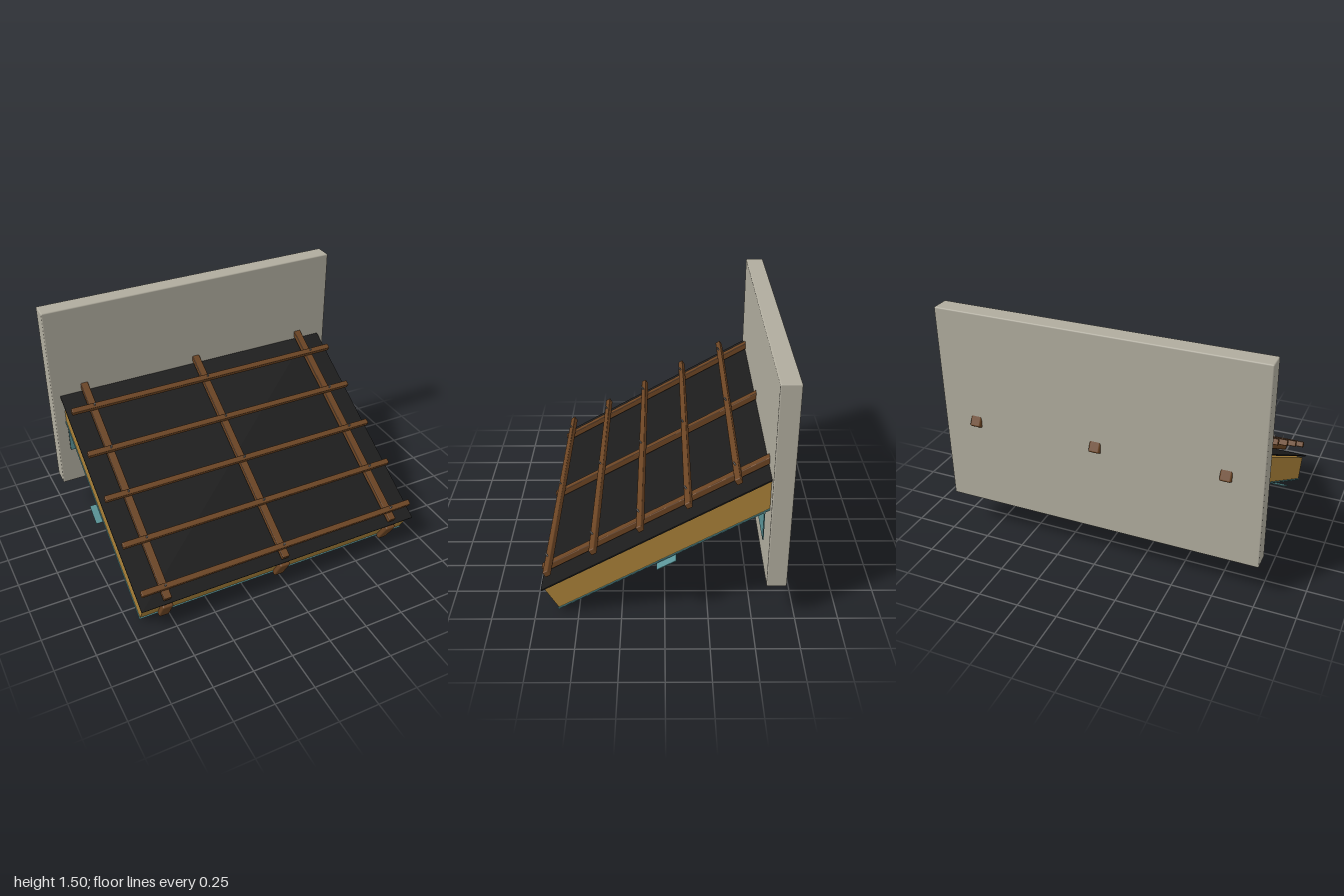
import * as THREE from 'three';
import { RoundedBoxGeometry } from 'three/addons/geometries/RoundedBoxGeometry.js';

const material = (name, color) => {
  const m = new THREE.MeshStandardMaterial({ color });
  m.name = name;
  return m;
};

export function createModel() {
  const concrete = material('concrete', 0xb0ac9e);
  const timber = material('timber', 0x6b4423);
  const insulationGold = material('insulation gold', 0xa98138);
  const membraneBlack = material('membrane black', 0x1c1c1c);
  const barrierTeal = material('barrier teal', 0x5a9498);
  const steel = material('steel', 0x8c8c8c);

  const model = new THREE.Group();
  model.name = 'roofWallJunction';

  // Box given by its extents on each axis, with an optional rounded edge
  const block = (parent, name, mat, [x0, x1], [y0, y1], [z0, z1], radius = 0) => {
    const size = [x1 - x0, y1 - y0, z1 - z0];
    const geometry = radius
      ? new RoundedBoxGeometry(...size, 2, radius)
      : new THREE.BoxGeometry(...size);
    const mesh = new THREE.Mesh(geometry, mat);
    mesh.name = name;
    mesh.position.set((x0 + x1) / 2, (y0 + y1) / 2, (z0 + z1) / 2);
    parent.add(mesh);
    return mesh;
  };

  // Wall and the barrier sheet hanging in front of it
  block(model, 'wall', concrete, [-1, 1], [0.24, 1.51], [-0.69, -0.575], 0.008);
  block(model, 'wallBarrierFlap', barrierTeal, [-0.93, 0.93], [0.51, 0.715], [-0.551, -0.545]);

  // Sloping roof: local y is the height above the rafter underside, -z runs up the slope
  const roof = new THREE.Group();
  roof.name = 'roof';
  roof.position.set(0, 0.003, 0.635);
  roof.rotation.x = Math.PI / 6;
  model.add(roof);
  const layer = (name, mat, halfWidth, heights, s0, s1, radius) =>
    block(roof, name, mat, [-halfWidth, halfWidth], heights, [-s1, -s0], radius);

  // Layers from underside to top
  layer('barrierTape', barrierTeal, 0.975, [-0.006, -0.001], 0.68, 0.805);
  layer('vapourBarrier', barrierTeal, 0.935, [0.01, 0.017], 0.025, 1.535);
  layer('insulation', insulationGold, 0.93, [0.019, 0.168], 0.032, 1.535);
  layer('roofMembrane', membraneBlack, 0.948, [0.179, 0.187], 0.018, 1.58);

  // Rafters and the counter battens above them
  const lines = [-0.783, 0, 0.783];
  for (const x of lines) {
    block(roof, 'rafter', timber, [x - 0.034, x + 0.034], [0, 0.167], [-1.566, 0], 0.01);
    block(roof, 'counterBatten', timber, [x - 0.024, x + 0.024], [0.198, 0.236], [-1.59, -0.036], 0.005);
  }

  // Cross battens, screwed down at each counter batten
  const screwGeometry = new THREE.CylinderGeometry(0.005, 0.005, 0.06, 10);
  for (let i = 0; i < 5; i++) {
    const s = 0.103 + i * 0.3095;
    layer('crossBatten', timber, 0.932, [0.238, 0.276], s - 0.018, s + 0.018, 0.006);
    for (const x of lines) {
      const screw = new THREE.Mesh(screwGeometry, steel);
      screw.name = 'screw';
      screw.position.set(x, 0.268, -s);
      roof.add(screw);
    }
  }

  return model;
}
